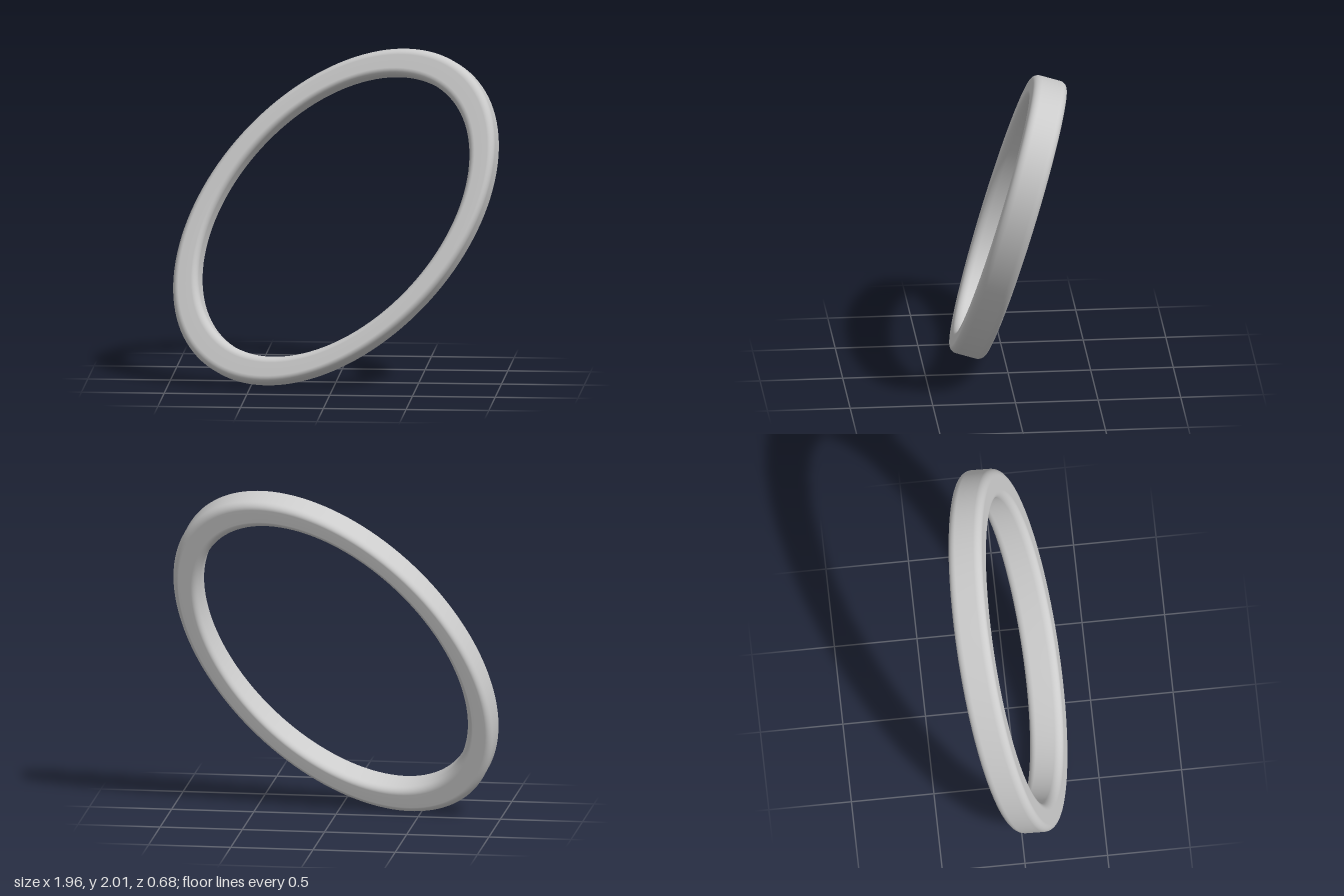
import * as THREE from 'three';

const RADIUS = 1.085;      // centreline of the ring along its long axis
const HALF_WIDTH = 0.093;  // radial half size of the band
const HALF_DEPTH = 0.105;  // axial half size of the band
const CORNER = 0.047;      // rounding of the band's edges
const SQUASH = 0.622;      // short axis / long axis

// Closed rounded-rectangle section, counter-clockwise, starting mid inner face
function bandProfile() {
  const points = [new THREE.Vector2(RADIUS - HALF_WIDTH, 0)];
  const steps = 8;
  const corners = [[-1, -1, Math.PI], [1, -1, 1.5 * Math.PI], [1, 1, 0], [-1, 1, 0.5 * Math.PI]];
  for (const [sx, sy, start] of corners) {
    for (let i = 0; i <= steps; i++) {
      const a = start + (i / steps) * Math.PI / 2;
      points.push(new THREE.Vector2(
        RADIUS + sx * (HALF_WIDTH - CORNER) + CORNER * Math.cos(a),
        sy * (HALF_DEPTH - CORNER) + CORNER * Math.sin(a)));
    }
  }
  points.push(points[0].clone());
  return points;
}

export function createModel() {
  const group = new THREE.Group();
  group.name = 'ovalRing';

  // The ring lies in the plane z = slopeX * x + slopeY * y
  const slopeX = 0.126, slopeY = -0.28;
  const angle = THREE.MathUtils.degToRad(46.2);
  const inPlane = (x, y) => new THREE.Vector3(x, y, slopeX * x + slopeY * y);
  const longAxis = inPlane(Math.cos(angle), Math.sin(angle));
  const shortAxis = inPlane(Math.sin(angle), -Math.cos(angle)).multiplyScalar(SQUASH);
  const normal = new THREE.Vector3(-slopeX, -slopeY, 1).normalize();

  // Round band, squashed to an oval and leaned back
  const geometry = new THREE.LatheGeometry(bandProfile(), 128);
  geometry.applyMatrix4(new THREE.Matrix4().makeBasis(longAxis, normal, shortAxis));
  geometry.translate(0, 1, 0);

  const ring = new THREE.Mesh(geometry, new THREE.MeshStandardMaterial({ color: 0xcccccc }));
  ring.name = 'ringBand';
  group.add(ring);
  return group;
}
